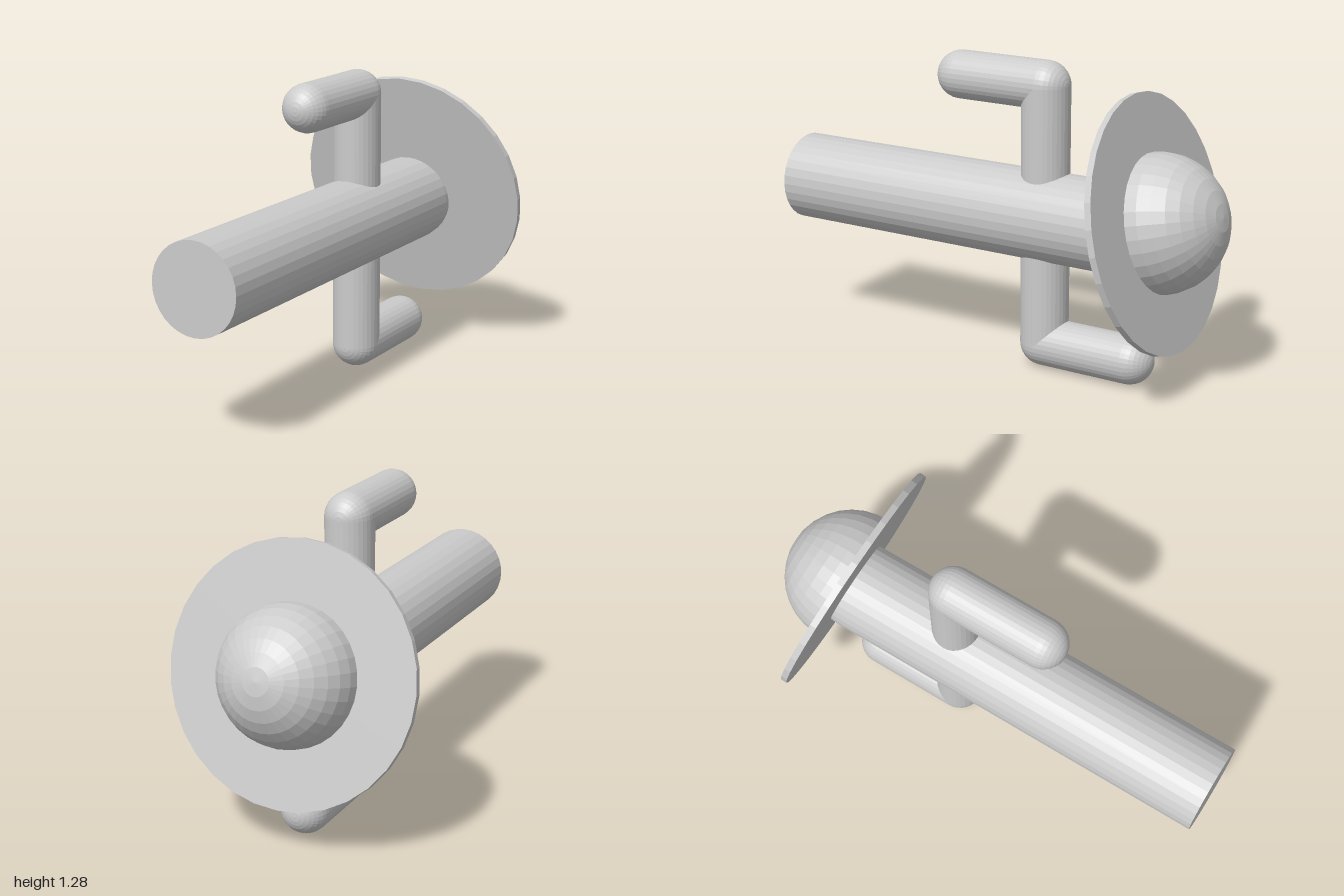
import * as THREE from 'three';

const SIDES = 32;
const material = new THREE.MeshStandardMaterial({ color: 0xcccccc, flatShading: true });

function add(parent, name, geometry, x, y, z) {
  const mesh = new THREE.Mesh(geometry, material);
  mesh.name = name;
  mesh.position.set(x, y, z);
  parent.add(mesh);
  return mesh;
}

// Rod running along z between two depths
function rodZ(parent, name, radius, y, z0, z1) {
  const geometry = new THREE.CylinderGeometry(radius, radius, Math.abs(z1 - z0), SIDES).rotateX(Math.PI / 2);
  return add(parent, name, geometry, 0, y, (z0 + z1) / 2);
}

// Ball with its poles along z
function ball(parent, name, radius, y, z) {
  const geometry = new THREE.SphereGeometry(radius, SIDES, 16).rotateX(Math.PI / 2);
  return add(parent, name, geometry, 0, y, z);
}

export function createModel() {
  const model = new THREE.Group();
  model.name = 'model';
  const bodyY = 0.645;

  // Long body: flat front end, rounded rear end
  rodZ(model, 'body', 0.185, bodyY, 1, -0.68);
  ball(model, 'bodyRearEnd', 0.185, bodyY, -0.68);

  // Bent arms: upper one points forward, lower one points back
  const armRadius = 0.1;
  const armZ = -0.205;
  for (const [name, side] of [['upperArm', 1], ['lowerArm', -1]]) {
    const arm = new THREE.Group();
    arm.name = name;
    const y = bodyY + side * 0.54;
    const tipZ = armZ + side * 0.4;
    const post = new THREE.CylinderGeometry(armRadius, armRadius, 0.54, SIDES);
    add(arm, 'post', post, 0, (bodyY + y) / 2, armZ);
    ball(arm, 'elbow', armRadius, y, armZ);
    rodZ(arm, 'forearm', armRadius, y, armZ, tipZ);
    ball(arm, 'tip', armRadius, y, tipZ);
    model.add(arm);
  }

  // Tilted hat at the rear: thin round brim and half-ball crown
  const hat = new THREE.Group();
  hat.name = 'hat';
  hat.position.set(0, 0.693, -0.712);
  hat.rotation.x = -1.337;
  add(hat, 'brim', new THREE.CylinderGeometry(0.517, 0.517, 0.027, SIDES), 0, 0, 0);
  const crown = new THREE.SphereGeometry(0.28, SIDES, 8, 0, Math.PI * 2, 0, Math.PI / 2);
  add(hat, 'crown', crown, 0, 0.008, 0);
  model.add(hat);

  return model;
}
